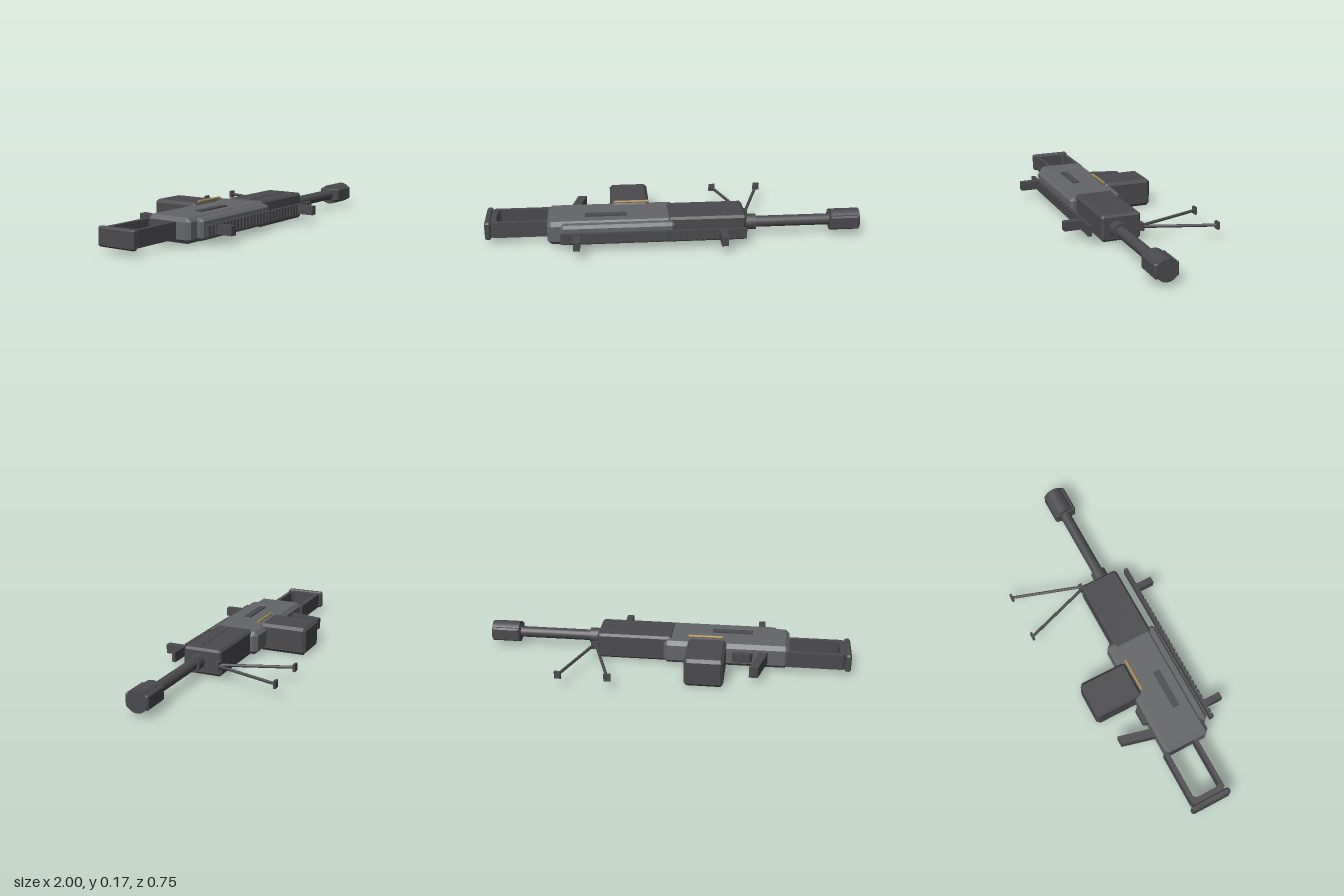
import * as THREE from 'three';
import { ConvexGeometry } from 'three/addons/geometries/ConvexGeometry.js';

const MID = 0.08; // height of the central plane
const paint = (color, flatShading = false) => new THREE.MeshStandardMaterial({ color, flatShading });
const body = paint(0x646568, true);
const dark = paint(0x4b4b4f, true);
const steel = paint(0x4b4b4f);
const brass = paint(0xa88a50);

// Box given by its extents, with chamfered edges
function chamferBox([x0, x1], [y0, y1], [z0, z1], c) {
  const h = [(x1 - x0) / 2, (y1 - y0) / 2, (z1 - z0) / 2];
  const points = [];
  for (const sx of [-1, 1]) for (const sy of [-1, 1]) for (const sz of [-1, 1])
    for (let full = 0; full < 3; full++) {
      const p = h.map((v, i) => (i === full ? v : v - c));
      points.push(new THREE.Vector3(sx * p[0], sy * p[1], sz * p[2]));
    }
  return new ConvexGeometry(points).translate((x0 + x1) / 2, (y0 + y1) / 2, (z0 + z1) / 2);
}

function box([x0, x1], [y0, y1], [z0, z1]) {
  return new THREE.BoxGeometry(x1 - x0, y1 - y0, z1 - z0)
    .translate((x0 + x1) / 2, (y0 + y1) / 2, (z0 + z1) / 2);
}

// Cylinder lying along x
function rod(x0, x1, r, y, z, sides = 24) {
  return new THREE.CylinderGeometry(r, r, x1 - x0, sides)
    .rotateZ(Math.PI / 2).translate((x0 + x1) / 2, y, z);
}

// Outline in (x, z), extruded in height around the central plane
function slab(outline, height, hole) {
  const toShape = (pts, Type) => new Type(pts.map(([x, z]) => new THREE.Vector2(x, -z)));
  const shape = toShape(outline, THREE.Shape);
  if (hole) shape.holes.push(toShape(hole, THREE.Path));
  return new THREE.ExtrudeGeometry(shape, { depth: height, bevelEnabled: false })
    .rotateX(-Math.PI / 2).translate(0, MID - height / 2, 0);
}

export function createModel() {
  const model = new THREE.Group();
  const add = (name, geometry, material, parent = model) => {
    const mesh = new THREE.Mesh(geometry, material);
    mesh.name = name;
    parent.add(mesh);
    return mesh;
  };
  const group = (name) => {
    const g = new THREE.Group();
    g.name = name;
    model.add(g);
    return g;
  };

  // Receiver, cover and handguard
  add('receiver', chamferBox([-0.67, 0.01], [0.016, 0.144], [-0.045, 0.214], 0.021), body);
  add('topCover', chamferBox([-0.6, 0], [0.025, 0.136], [0.17, 0.245], 0.015), body);
  add('handguard', chamferBox([-0.035, 0.38], [0.01, 0.151], [-0.004, 0.211], 0.012), dark);
  add('ejectionPort', box([-0.47, -0.25], [0.13, 0.151], [0.105, 0.142]), dark);
  const vents = group('handguardVents');
  for (let i = 0; i < 5; i++) {
    const x = 0.01 + i * 0.075;
    add('vent', box([x - 0.025, x + 0.025], [0.14, 0.154], [0.122, 0.137]), dark, vents);
  }

  // Barrel and muzzle
  add('barrel', rod(0.37, 0.9, 0.03, MID, 0.13), steel);
  add('barrelCollar', rod(0.37, 0.44, 0.042, MID, 0.13), steel);
  const muzzle = group('muzzleBrake');
  add('muzzleCylinder', rod(0.845, 1, 0.057, MID, 0.132), steel, muzzle);
  add('muzzleBlock', chamferBox([0.84, 0.998], [0.042, 0.118], [0.071, 0.195], 0.008), dark, muzzle);

  // Open frame stock
  const stock = group('stock');
  add('stockFrame', slab(
    [[-0.66, -0.055], [-0.955, -0.055], [-0.975, -0.035], [-0.975, 0.12], [-0.955, 0.14], [-0.66, 0.14]],
    0.085,
    [[-0.66 - 0.01, -0.03], [-0.925, -0.03], [-0.94, -0.015], [-0.94, 0.1], [-0.925, 0.118], [-0.67, 0.118]],
  ), dark, stock);
  add('buttPlate', chamferBox([-1, -0.968], [0.031, 0.129], [-0.067, 0.155], 0.008), dark, stock);

  // Grip and trigger guard
  add('grip', slab([[-0.56, -0.03], [-0.512, -0.03], [-0.463, -0.225], [-0.51, -0.225]], 0.06), dark);
  add('triggerGuard', slab([[-0.48, -0.035], [-0.365, -0.035], [-0.365, -0.055], [-0.38, -0.07], [-0.46, -0.07]], 0.05), dark);

  // Ammunition box with the brass feed rod
  add('ammunitionBox', chamferBox([-0.332, -0.124], [0.003, 0.158], [-0.275, -0.003], 0.016), dark);
  add('brassRod', rod(-0.31, -0.125, 0.007, 0.165, 0.004, 12), brass);

  // Toothed rail with two sight posts
  const rail = group('rail');
  add('railBase', box([-0.6, 0.375], [0.053, 0.107], [0.262, 0.272]), dark, rail);
  for (let i = 0; i < 33; i++) {
    const x = -0.59 + i * 0.0298;
    add('railTooth', box([x - 0.009, x + 0.009], [0.053, 0.107], [0.271, 0.283]), dark, rail);
  }
  for (const x of [-0.516, 0.248])
    add('sightPost', box([x - 0.018, x + 0.018], [0.055, 0.104], [0.27, 0.372]), dark, rail);

  // Splayed bipod
  const bipod = group('bipod');
  add('bipodHub', box([0.375, 0.415], [0.06, 0.1], [-0.008, 0.012]), dark, bipod);
  for (const side of [-1, 1]) {
    const top = new THREE.Vector3(0.395 + side * 0.008, MID, 0);
    const tip = new THREE.Vector3(0.393 + side * 0.13, MID, -0.365);
    const leg = add('bipodLeg', new THREE.CylinderGeometry(0.008, 0.008, top.distanceTo(tip), 12), steel, bipod);
    leg.position.copy(top).lerp(tip, 0.5);
    leg.quaternion.setFromUnitVectors(new THREE.Vector3(0, 1, 0), tip.clone().sub(top).normalize());
    add('bipodFoot', box([tip.x - 0.018, tip.x + 0.018], [0.06, 0.1], [-0.373, -0.361]), dark, bipod);
  }
  return model;
}
